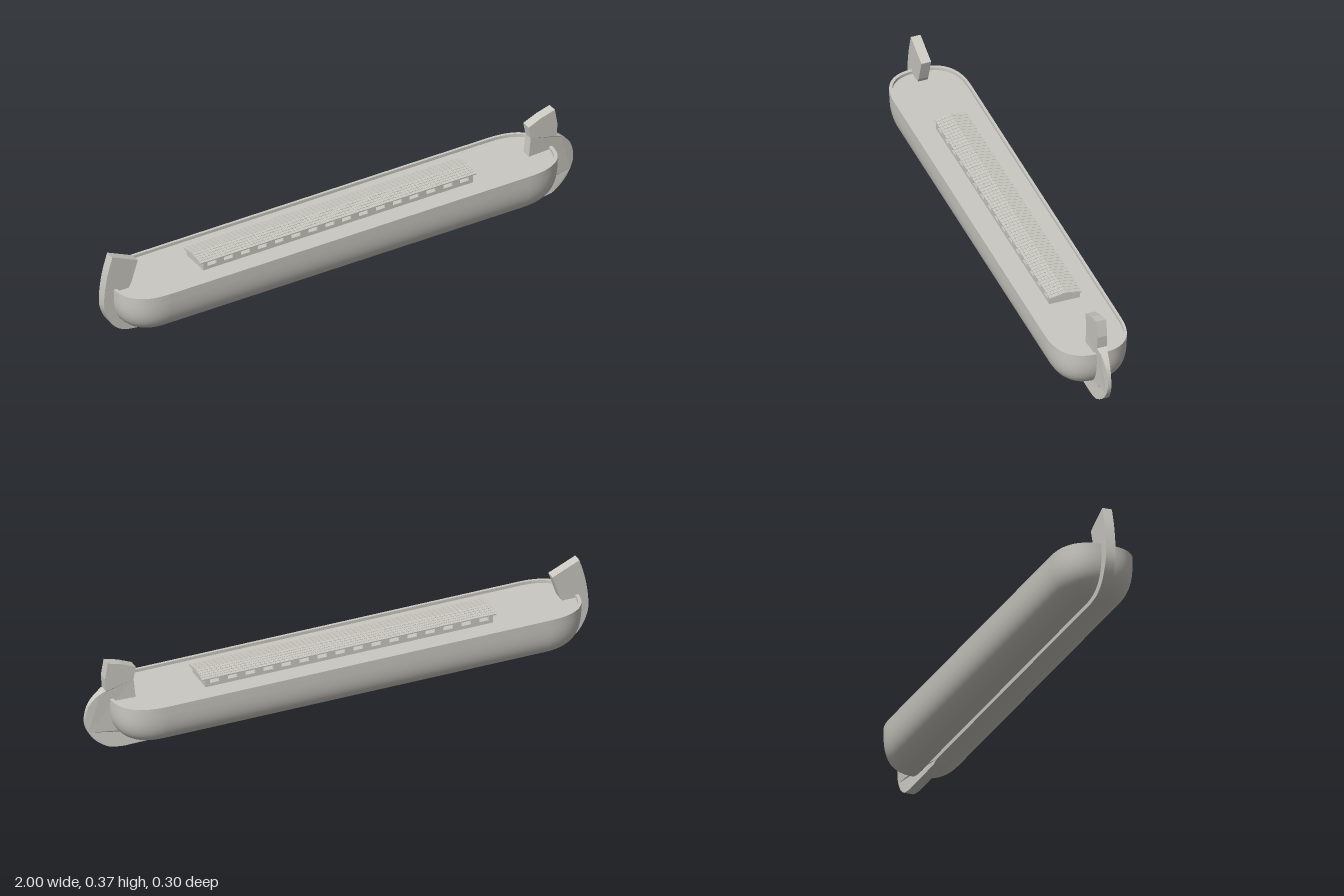
import * as THREE from 'three';
import { mergeGeometries } from 'three/addons/utils/BufferGeometryUtils.js';

const stone = new THREE.MeshStandardMaterial({ color: 0xcbc9c2 });
stone.name = 'pale grey';

const add = (group, name, geometry) => {
  const mesh = new THREE.Mesh(geometry, stone);
  mesh.name = name;
  group.add(mesh);
  return mesh;
};

// Long plan outline with superelliptic ends, scaled by r
function planPoint(angle, r) {
  const power = (v) => Math.sign(v) * Math.pow(Math.abs(v), 2 / 2.6);
  const c = Math.cos(angle), s = Math.sin(angle);
  const x = c >= 0 ? 0.715 + 0.19 * r * power(c) : -0.78 + 0.18 * r * power(c);
  return [x, 0.15 * r * power(s)];
}

// Surface through closed loops; each row is [scale, height]
function loopSurface(rows, sides = 96) {
  const positions = [], index = [];
  rows.forEach(([r, y], i) => {
    for (let j = 0; j < sides; j++) {
      const [x, z] = planPoint(((j + 0.5) / sides) * Math.PI * 2, r);
      positions.push(x, y, z);
      if (i === rows.length - 1) continue;
      const a = i * sides + j, b = i * sides + ((j + 1) % sides);
      index.push(a, b, a + sides, b, b + sides, a + sides);
    }
  });
  const g = new THREE.BufferGeometry();
  g.setAttribute('position', new THREE.Float32BufferAttribute(positions, 3));
  g.setIndex(index);
  g.computeVertexNormals();
  return g;
}

function extrudeCentred(shape, depth) {
  const g = new THREE.ExtrudeGeometry(shape, { depth, bevelEnabled: false, curveSegments: 8 });
  return g.translate(0, 0, -depth / 2);
}

function buildHull() {
  const hull = new THREE.Group();
  hull.name = 'hull';
  const n = 3.1, rows = [];
  for (let i = 0; i <= 20; i++) {
    const t = (i / 20) * Math.PI / 2;
    rows.push([Math.pow(Math.max(0, Math.cos(t)), 2 / n), 0.21 - 0.18 * Math.pow(Math.sin(t), 2 / n)]);
  }
  add(hull, 'hullShell', loopSurface(rows));
  add(hull, 'rimTop', loopSurface([[0.93, 0.21], [1, 0.21]]));
  add(hull, 'bulwarkInside', loopSurface([[0.93, 0.198], [0.93, 0.21]]));
  add(hull, 'deck', loopSurface([[0, 0.198], [0.93, 0.198]]));
  return hull;
}

// Keel, stern post and ram-shaped prow in one continuous timber
function buildKeel() {
  const s = new THREE.Shape();
  s.moveTo(-0.965, 0.353);
  s.splineThru([[-0.988, 0.27], [-1, 0.18], [-0.995, 0.12], [-0.965, 0.06], [-0.92, 0.025], [-0.86, 0.013]]
    .map(([x, y]) => new THREE.Vector2(x, y)));
  s.lineTo(0.6, 0.013);
  s.lineTo(0.63, 0.003);
  s.lineTo(0.85, 0.001);
  s.splineThru([[0.91, 0.012], [0.96, 0.046], [0.99, 0.09], [1, 0.135], [0.988, 0.19], [0.957, 0.228],
    [0.922, 0.25]].map(([x, y]) => new THREE.Vector2(x, y)));
  s.lineTo(0.926, 0.3);
  s.lineTo(0.915, 0.366);
  s.lineTo(0.86, 0.35);
  s.lineTo(0.803, 0.325);
  s.lineTo(0.812, 0.275);
  s.lineTo(0.803, 0.19);
  s.lineTo(0.8, 0.06);
  s.lineTo(-0.84, 0.06);
  s.lineTo(-0.9, 0.19);
  s.lineTo(-0.886, 0.215);
  s.lineTo(-0.857, 0.305);
  s.closePath();
  const g = extrudeCentred(s, 0.038);
  // Sharpen the ram towards its leading edge
  const p = g.attributes.position;
  for (let i = 0; i < p.count; i++) {
    if (p.getY(i) > 0.245) continue;
    const k = THREE.MathUtils.clamp((p.getX(i) - 0.9) / 0.1, 0, 1);
    p.setZ(i, p.getZ(i) * (1 - 0.65 * k));
  }
  g.computeVertexNormals();
  return g;
}

function buildDeckhouse() {
  const house = new THREE.Group();
  house.name = 'deckhouse';
  const x0 = -0.603, x1 = 0.543, count = 16, pitch = (x1 - x0) / count;

  // Side walls with a row of open windows
  const wall = new THREE.Shape();
  wall.moveTo(x0, 0.196).lineTo(x1, 0.196).lineTo(x1, 0.231).lineTo(x0, 0.231).closePath();
  for (let i = 0; i < count; i++) {
    const cx = x0 + (i + 0.5) * pitch, w = 0.019;
    const hole = new THREE.Path();
    hole.moveTo(cx - w, 0.212).lineTo(cx - w, 0.228).lineTo(cx + w, 0.228).lineTo(cx + w, 0.212).closePath();
    wall.holes.push(hole);
  }
  for (const side of [-1, 1]) {
    add(house, side > 0 ? 'frontWall' : 'backWall', extrudeCentred(wall, 0.006)).position.z = side * 0.057;
  }

  // End walls
  for (const [name, x] of [['sternEndWall', x0 + 0.003], ['bowEndWall', x1 - 0.003]]) {
    add(house, name, new THREE.BoxGeometry(0.006, 0.035, 0.12)).position.set(x, 0.2135, 0);
  }

  // Low gabled roof slab
  const gable = new THREE.Shape();
  gable.moveTo(-0.0615, 0.228).lineTo(0.0615, 0.228).lineTo(0.0615, 0.231).lineTo(0, 0.242)
    .lineTo(-0.0615, 0.231).closePath();
  const roof = extrudeCentred(gable, 1.172).rotateY(Math.PI / 2);
  add(house, 'roofSlab', roof).position.x = -0.03;

  // Overlapping tiles on both slopes
  const tiles = [], columns = 64, tileRows = 5, step = 1.172 / columns, angle = Math.atan(0.011 / 0.0615);
  for (const side of [-1, 1]) {
    for (let r = 0; r < tileRows; r++) {
      const z = 0.0625 * (r + 0.5) / tileRows;
      for (let c = 0; c < columns; c++) {
        const tile = new THREE.BoxGeometry(step * 0.9, 0.003, 0.0122);
        tile.rotateX(side * (angle - 0.06));
        tile.translate(-0.616 + (c + 0.5) * step, 0.2428 - z * 0.179, side * z);
        tiles.push(tile);
      }
    }
  }
  add(house, 'roofTiles', mergeGeometries(tiles));
  return house;
}

export function createModel() {
  const ship = new THREE.Group();
  ship.name = 'ship';
  ship.add(buildHull(), buildDeckhouse());
  add(ship, 'keel', buildKeel());
  return ship;
}
